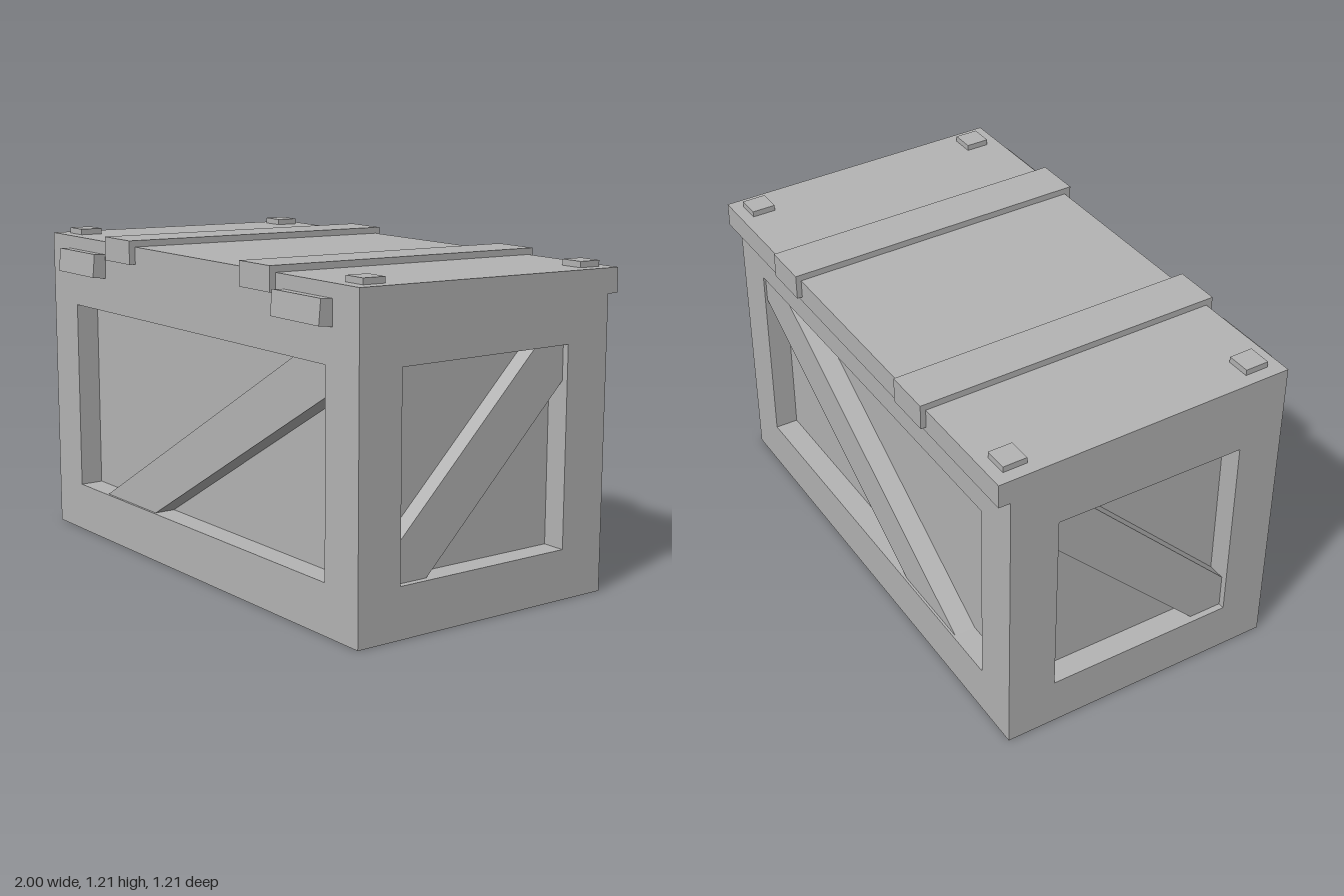
import * as THREE from 'three';

const wood = new THREE.MeshStandardMaterial({ color: 0xb3b3b3 });
wood.name = 'plain grey';

const DEPTH = 0.09;            // depth of the recessed panels
const LOW = 0.185, HIGH = 0.915; // recess bottom and top
const SEAM = 1.05;             // where the lid meets the body
const lidTop = z => 1.1753 + 0.0176 * z; // gently sloping lid

const toShape = pts => new THREE.Shape(pts.map(p => new THREE.Vector2(p[0], p[1])));
const extrude = (shape, depth) => new THREE.ExtrudeGeometry(shape, { depth, bevelEnabled: false });

export function createModel() {
  const model = new THREE.Group();
  model.name = 'crate';

  const add = (name, geometry) => {
    const mesh = new THREE.Mesh(geometry, wood);
    mesh.name = name;
    model.add(mesh);
    return mesh;
  };

  // Upright slab drawn in x,y and pushed along z from z0 to z1
  const alongZ = (name, shape, z0, z1) =>
    add(name, extrude(shape, z1 - z0).translate(0, 0, z0));

  // Upright slab drawn in -z,y and pushed along x from x0 to x1
  const alongX = (name, shape, x0, x1) =>
    add(name, extrude(shape, x1 - x0).rotateY(Math.PI / 2).translate(x0, 0, 0));

  // Profile given as z,y pairs
  const profile = pts => toShape(pts.map(([z, y]) => [-z, y]));

  // Rectangular frame with a rectangular opening
  const frame = (left, right, holeLeft, holeRight) => {
    const s = toShape([[left, 0], [right, 0], [right, SEAM], [left, SEAM]]);
    s.holes.push(toShape([[holeLeft, LOW], [holeLeft, HIGH], [holeRight, HIGH], [holeRight, LOW]]));
    return s;
  };

  // Inner box, whose walls are the recessed panels
  add('innerBox', new THREE.BoxGeometry(2 - 2 * DEPTH, SEAM, 0.91).translate(0, SEAM / 2, 0.005));

  // Frames around the four sides
  const longFrame = frame(-1, 1, -0.82, 0.82);
  alongZ('frontFrame', longFrame, 0.46, 0.55);
  alongZ('backFrame', longFrame, -0.54, -0.45);
  const endFrame = frame(-0.46, 0.45, -0.375, 0.355);
  alongX('leftFrame', endFrame, 1 - DEPTH, 1);
  alongX('rightFrame', endFrame, -1, -1 + DEPTH);

  // Diagonal braces, set slightly below the frames
  const longBrace = toShape([[-0.62, LOW], [-0.265, LOW], [0.82, 0.81], [0.82, HIGH], [0.635, HIGH]]);
  alongZ('frontBrace', longBrace, 0.46, 0.541);
  alongZ('backBrace', longBrace, -0.531, -0.45);
  const endBrace = toShape([[-0.375, LOW], [-0.245, LOW], [0.355, 0.785], [0.355, HIGH], [0.225, HIGH], [-0.375, 0.315]]);
  alongX('leftBrace', endBrace, 1 - DEPTH, 0.976);
  alongX('rightBrace', endBrace, -0.976, -1 + DEPTH);

  // Lid with a lip overhanging the back
  alongX('lid', profile([
    [0.55, SEAM], [0.55, lidTop(0.55)], [-0.585, lidTop(-0.585)],
    [-0.585, 1.075], [-0.54, 1.075], [-0.54, SEAM],
  ]), -1, 1);

  // Straps folded over the lid, latches and corner pads, on both sides
  const strap = profile([
    [0.575, 1.12], [0.575, lidTop(0.575) + 0.024], [-0.605, lidTop(-0.605) + 0.024],
    [-0.605, 1.095], [-0.57, 1.095], [0.53, 1.12],
  ]);
  const latch = profile([[0.605, 1.05], [0.597, 1.139], [0.54, 1.134], [0.54, 1.042]]);
  for (const [side, s] of [['left', 1], ['right', -1]]) {
    const place = (name, shape, a, b) => alongX(side + name, shape, Math.min(s * a, s * b), Math.max(s * a, s * b));
    place('Strap', strap, 0.365, 0.545);
    place('Latch', latch, 0.59, 0.86);
    for (const [end, z0, z1] of [['Front', 0.41, 0.5], ['Back', -0.54, -0.45]]) {
      place(end + 'Pad', profile([
        [z1, lidTop(z1) - 0.01], [z1, lidTop(z1) + 0.022],
        [z0, lidTop(z0) + 0.022], [z0, lidTop(z0) - 0.01],
      ]), 0.862, 0.952);
    }
  }
  return model;
}
